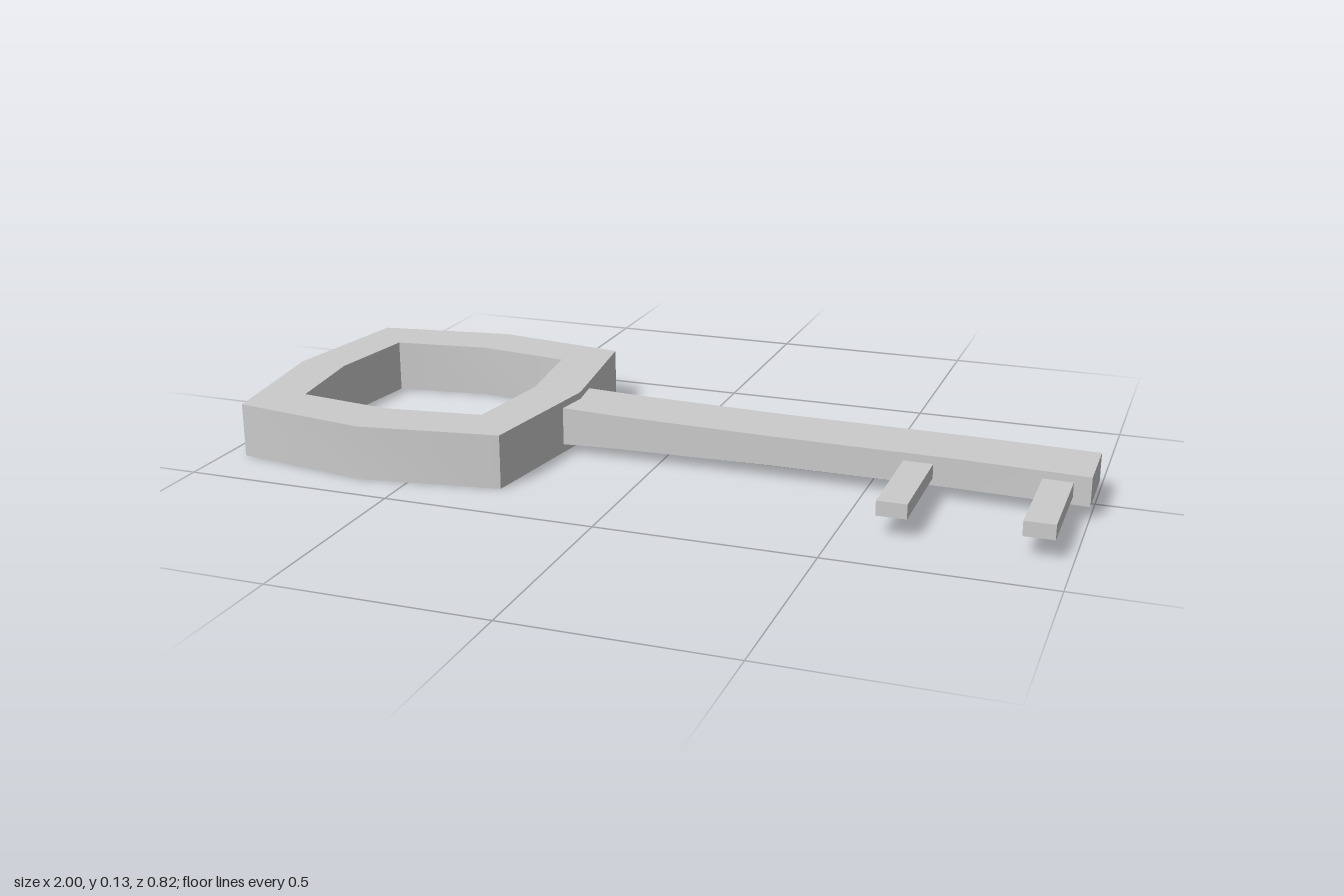
import * as THREE from 'three';
import { toCreasedNormals } from 'three/addons/utils/BufferGeometryUtils.js';

const material = new THREE.MeshStandardMaterial({ color: 0xcccccc });

function addMesh(group, name, geometry) {
  const mesh = new THREE.Mesh(geometry, material);
  mesh.name = name;
  group.add(mesh);
}

// Closed outline from its z >= 0 half, mirrored across z = 0 (runs clockwise)
function mirroredOutline(half) {
  const back = half.slice(1, -1).reverse().map(([x, z]) => [x, -z]);
  return [...half, ...back].map(([x, z]) => new THREE.Vector2(x, z));
}

// Eight-sided ring that forms the grip; only its four main corners stay sharp
function bowGeometry() {
  const height = 0.128;
  const outer = [[-1, 0], [-0.95, 0.358], [-0.615, 0.41], [-0.281, 0.358], [-0.232, 0]];
  const inner = [[-0.88, 0], [-0.85, 0.238], [-0.615, 0.27], [-0.382, 0.238], [-0.353, 0]];
  // The outline runs opposite to the hole so both walls face outwards
  const shape = new THREE.Shape(mirroredOutline(outer).reverse());
  shape.holes.push(new THREE.Path(mirroredOutline(inner)));
  const geometry = new THREE.ExtrudeGeometry(shape, { depth: height, bevelEnabled: false });
  geometry.rotateX(Math.PI / 2).translate(0, height, 0);
  return toCreasedNormals(geometry, Math.PI / 6);
}

// Square bar reshaped through sections: [x, bottom, top, back z, front z]
function shaftGeometry() {
  const sections = [
    [-0.26, 0.02, 0.112, -0.085, 0.082],
    [-0.1, 0.025, 0.107, -0.084, 0.082],
    [0.27, 0.03, 0.101, -0.082, 0.082],
    [0.7, 0.03, 0.099, -0.08, 0.085],
    [1, 0.03, 0.098, -0.068, 0.1],
  ];
  const last = sections.length - 1;
  const geometry = new THREE.BoxGeometry(1, 1, 1, last, 1, 1);
  const p = geometry.attributes.position;
  for (let i = 0; i < p.count; i++) {
    const [x, bottom, top, back, front] = sections[Math.round((p.getX(i) + 0.5) * last)];
    p.setXYZ(i, x, p.getY(i) > 0 ? top : bottom, p.getZ(i) > 0 ? front : back);
  }
  geometry.computeVertexNormals();
  return geometry;
}

export function createModel() {
  const key = new THREE.Group();
  key.name = 'key';
  addMesh(key, 'bow', bowGeometry());
  addMesh(key, 'shaft', shaftGeometry());

  // Two teeth, rooted inside the shaft
  [[0.617, 0.347], [0.927, 0.356]].forEach(([x, tip], i) => {
    const root = 0.06;
    const tooth = new THREE.BoxGeometry(0.068, 0.034, tip - root);
    addMesh(key, `tooth${i + 1}`, tooth.translate(x, 0.064, (tip + root) / 2));
  });
  return key;
}
